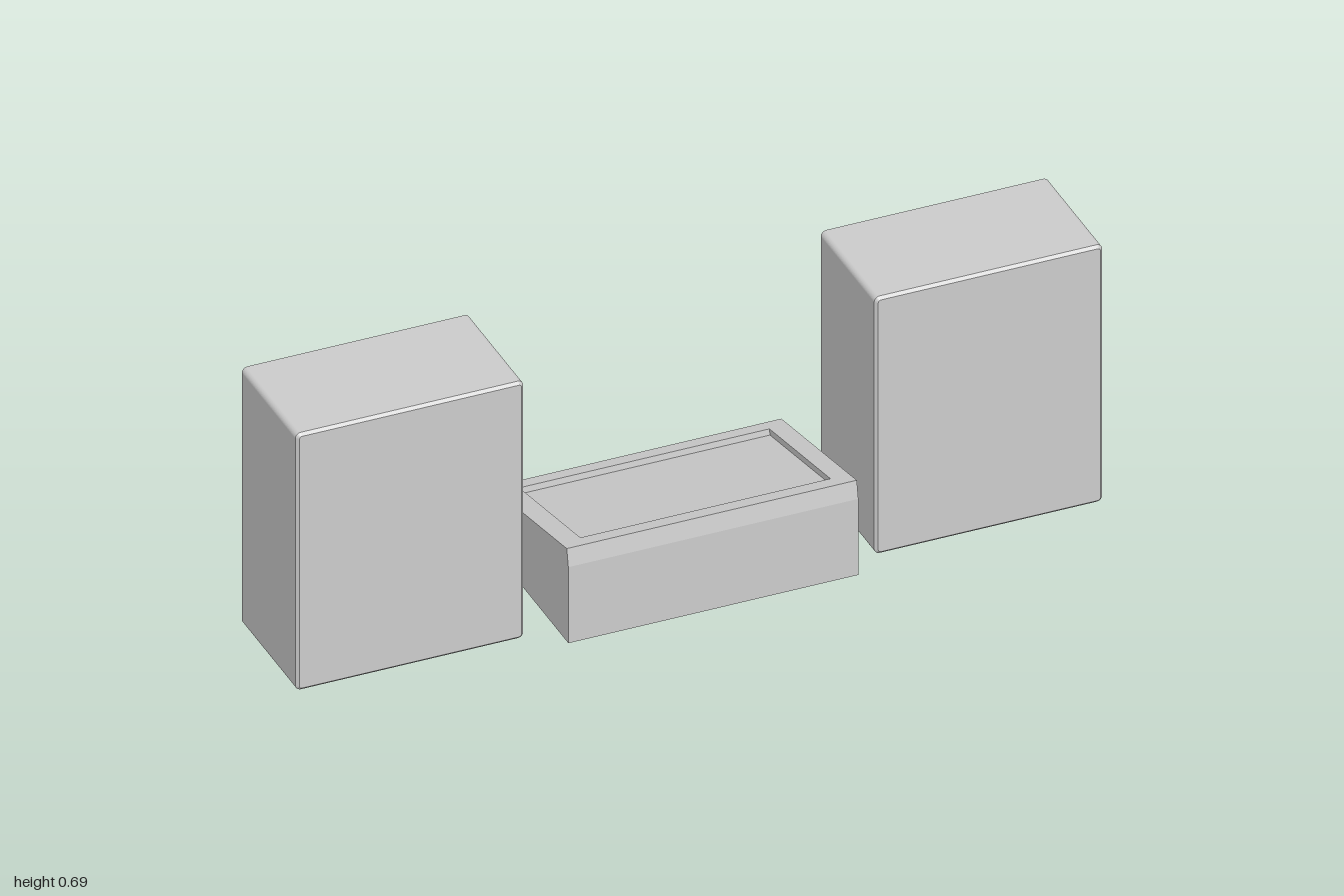
import * as THREE from 'three';

const material = new THREE.MeshStandardMaterial({ color: 0xcccccc, side: THREE.DoubleSide });
const W = 0.2825, H = 0.693, R = 0.014, WALL = 0.018; // cabinet half width, height, corner, wall

function mesh(name, geometry, parent) {
  const m = new THREE.Mesh(geometry, material);
  m.name = name;
  parent.add(m);
  return m;
}

// Rounded rectangle drawn on a Shape or a Path
function roundRect(path, x0, y0, x1, y1, r) {
  path.moveTo(x0 + r, y0);
  path.lineTo(x1 - r, y0);
  path.absarc(x1 - r, y0 + r, r, -Math.PI / 2, 0);
  path.lineTo(x1, y1 - r);
  path.absarc(x1 - r, y1 - r, r, 0, Math.PI / 2);
  path.lineTo(x0 + r, y1);
  path.absarc(x0 + r, y1 - r, r, Math.PI / 2, Math.PI);
  path.lineTo(x0, y0 + r);
  path.absarc(x0 + r, y0 + r, r, Math.PI, Math.PI * 1.5);
  return path;
}

function extrude(shape, z0, z1, options = {}) {
  const g = new THREE.ExtrudeGeometry(shape, { depth: z1 - z0, bevelEnabled: false, curveSegments: 5, ...options });
  return g.translate(0, 0, z0);
}

function createCabinet(name, x) {
  const cabinet = new THREE.Group();
  cabinet.name = name;
  cabinet.position.x = x;

  // Side and top walls, open underneath
  const arch = new THREE.Shape();
  arch.moveTo(W - WALL, 0);
  arch.lineTo(W - R, 0);
  arch.absarc(W - R, R, R, -Math.PI / 2, 0);
  arch.absarc(W - R, H - R, R, 0, Math.PI / 2);
  arch.absarc(-W + R, H - R, R, Math.PI / 2, Math.PI);
  arch.absarc(-W + R, R, R, Math.PI, Math.PI * 1.5);
  arch.lineTo(-W + WALL, 0);
  arch.lineTo(-W + WALL, H - WALL);
  arch.lineTo(W - WALL, H - WALL);
  arch.closePath();
  mesh('cabinetWalls', extrude(arch, -0.11, 0.153), cabinet);

  // Front board with a small bevel
  const b = 0.007;
  const front = roundRect(new THREE.Shape(), -W + b, b, W - b, H - b, R - b);
  mesh('frontBoard', extrude(front, 0.137, 0.153, {
    bevelEnabled: true, bevelSize: b, bevelThickness: b, bevelSegments: 1,
  }), cabinet);

  // Rim around the recessed back panel
  const rim = roundRect(new THREE.Shape(), -W, 0, W, H, R);
  rim.holes.push(roundRect(new THREE.Path(), -W + WALL, WALL, W - WALL, H - WALL, 0.012));
  mesh('backRim', extrude(rim, -0.15, -0.11), cabinet);

  // Back panel with four slots and a screw hole at each slot end
  const panel = roundRect(new THREE.Shape(), -W + 0.01, 0.01, W - 0.01, H - 0.01, R);
  for (const y of [0.565, 0.402, 0.268, 0.13]) {
    panel.holes.push(roundRect(new THREE.Path(), -0.15, y - 0.036, 0.15, y + 0.036, 0.014));
    for (const side of [-1, 1]) {
      panel.holes.push(new THREE.Path().absarc(side * 0.18, y, 0.011, 0, Math.PI * 2));
    }
  }
  mesh('backPanel', extrude(panel, -0.12, -0.09), cabinet);

  // Small round knob in the upper corner of the panel
  const knob = mesh('cornerKnob', new THREE.CylinderGeometry(0.016, 0.016, 0.02, 20), cabinet);
  knob.rotation.x = Math.PI / 2;
  knob.position.set(-0.238, 0.642, -0.125);
  return cabinet;
}

// Surface through four-cornered rings, capped at both ends
function loftRings(rings) {
  const positions = [], index = [];
  for (const [x0, x1, zf, yf, zb, yb] of rings) {
    positions.push(x0, yf, zf, x1, yf, zf, x1, yb, zb, x0, yb, zb);
  }
  index.push(0, 2, 1, 0, 3, 2);
  for (let k = 0; k < rings.length - 1; k++) {
    for (let i = 0; i < 4; i++) {
      const a = 4 * k + i, c = 4 * k + (i + 1) % 4;
      index.push(a, c, c + 4, a, c + 4, a + 4);
    }
  }
  const n = 4 * (rings.length - 1);
  index.push(n, n + 1, n + 2, n, n + 2, n + 3);
  const g = new THREE.BufferGeometry();
  g.setAttribute('position', new THREE.Float32BufferAttribute(positions, 3));
  g.setIndex(index);
  const flat = g.toNonIndexed();
  flat.computeVertexNormals();
  return flat;
}

export function createModel() {
  const model = new THREE.Group();
  model.name = 'consoleWithCabinets';
  model.add(createCabinet('leftCabinet', 0.7175), createCabinet('rightCabinet', -0.7175));

  // Hollow sloping console: inside ceiling, bottom edge, walls, top, screen recess
  // Each ring: x0, x1, front z, front y, back z, back y
  mesh('slopingConsole', loftRings([
    [-0.342, 0.357, 0.202, 0.225, -0.208, 0.143],
    [-0.342, 0.357, 0.211, 0.195, -0.201, 0.12],
    [-0.342, 0.357, 0.211, 0, -0.201, 0],
    [-0.352, 0.367, 0.219, 0, -0.209, 0],
    [-0.352, 0.367, 0.219, 0.205, -0.209, 0.12],
    [-0.352, 0.367, 0.21, 0.25, -0.218, 0.165],
    [-0.3, 0.32, 0.168, 0.2417, -0.178, 0.173],
    [-0.3, 0.32, 0.171, 0.227, -0.175, 0.158],
  ]), model);
  return model;
}
